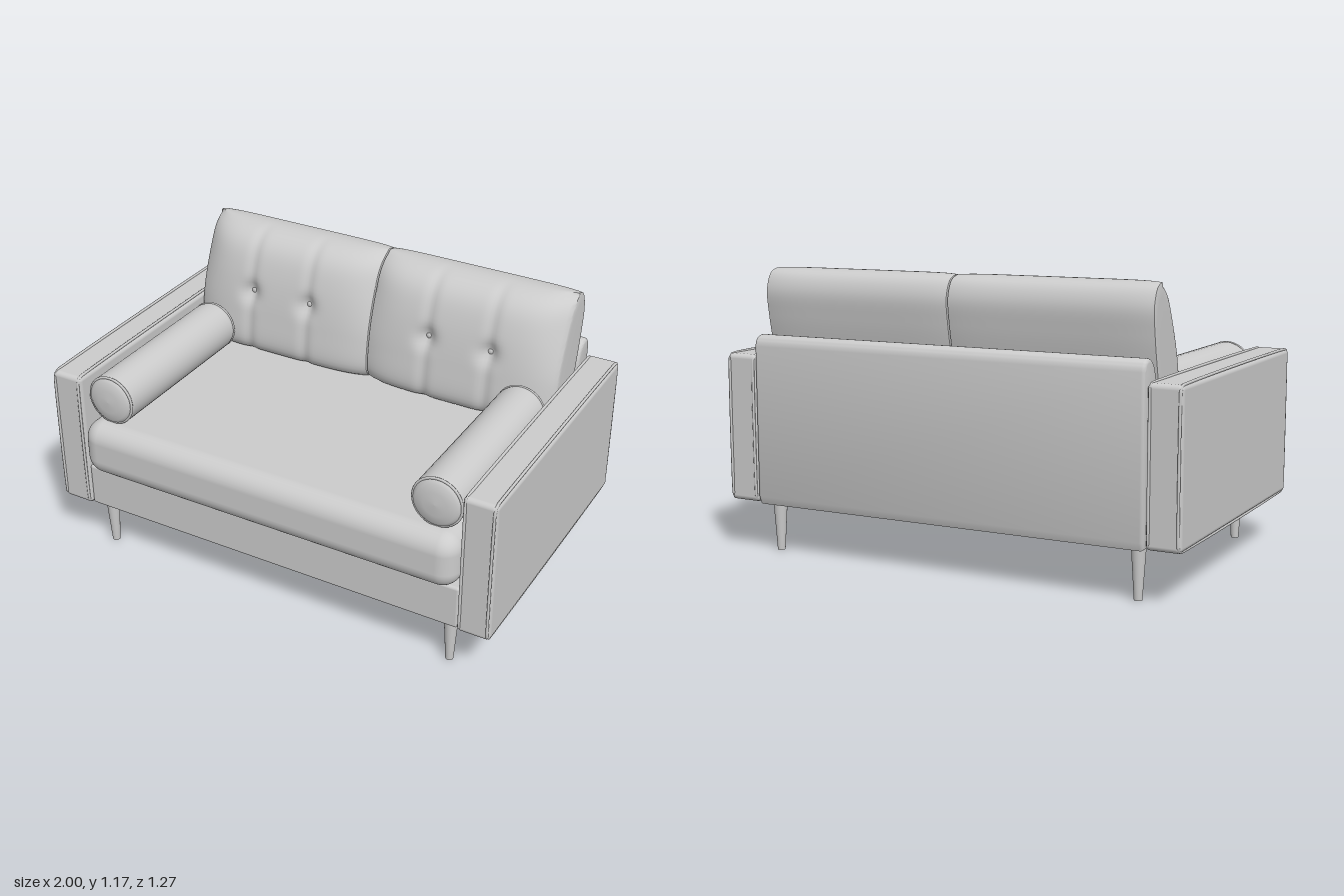
import * as THREE from 'three';
import { RoundedBoxGeometry } from 'three/addons/geometries/RoundedBoxGeometry.js';
import { toCreasedNormals } from 'three/addons/utils/BufferGeometryUtils.js';

const material = new THREE.MeshStandardMaterial({ color: 0xcccccc });

function add(parent, name, geometry, x = 0, y = 0, z = 0) {
  const mesh = new THREE.Mesh(geometry, material);
  mesh.name = name;
  mesh.position.set(x, y, z);
  parent.add(mesh);
  return mesh;
}

// Rounded box given by its limits on each axis
function block(parent, name, [x0, x1], [y0, y1], [z0, z1], radius) {
  const geometry = new RoundedBoxGeometry(x1 - x0, y1 - y0, z1 - z0, 5, radius);
  return add(parent, name, geometry, (x0 + x1) / 2, (y0 + y1) / 2, (z0 + z1) / 2);
}

// Loop of piping around a rounded rectangle in the z-y plane
function armPiping(x, [y0, y1], [z0, z1], r) {
  const points = [];
  const corners = [[z1 - r, y1 - r], [z0 + r, y1 - r], [z0 + r, y0 + r], [z1 - r, y0 + r]];
  corners.forEach(([z, y], c) => {
    for (let i = 0; i <= 4; i++) {
      const a = (c + i / 4) * Math.PI / 2;
      points.push(new THREE.Vector3(x, y + r * Math.sin(a), z + r * Math.cos(a)));
    }
  });
  const curve = new THREE.CatmullRomCurve3(points, true, 'centripetal');
  return new THREE.TubeGeometry(curve, 160, 0.006, 8, true);
}

// Side outline of a back cushion as z, y, running up the front and down the back
const cushionOutline = new THREE.CatmullRomCurve3([
  [-0.265, 0.635], [-0.234, 0.67], [-0.24, 0.82], [-0.272, 1.0], [-0.308, 1.095],
  [-0.345, 1.138], [-0.39, 1.162], [-0.46, 1.172], [-0.53, 1.152], [-0.56, 1.09],
  [-0.55, 0.98], [-0.515, 0.82], [-0.475, 0.66], [-0.45, 0.635],
].map(([z, y]) => new THREE.Vector3(0, y, z)), true, 'centripetal');

// Tufted cushion: the outline lofted along x, thinner at the ends (most at the
// outer one), pulled in at the buttons
function tuftedCushion(halfWidth, side, buttons) {
  const { smoothstep } = THREE.MathUtils;
  const around = 80, inner = 60;
  const outline = cushionOutline.getSpacedPoints(around).slice(0, around);
  const middle = new THREE.Vector3(0, 0.9, -0.43);
  const stations = [[-1, 0], [-1, 0.45], [-0.999, 0.8], [-0.997, 0.95]];
  for (let i = 0; i <= inner; i++) {
    const u = -0.992 + 1.984 * i / inner;
    stations.push([u, 1 - 0.015 * Math.pow(Math.abs(u), 10)]);
  }
  stations.push([0.997, 0.95], [0.999, 0.8], [1, 0.45], [1, 0]);

  const positions = [], indices = [];
  for (const [u, scale] of stations) {
    const end = Math.pow(Math.abs(u), 5) * (u * side > 0 ? 1 : 0.6);
    for (const point of outline) {
      const p = point.clone();
      const x = u * halfWidth;
      const depth = p.z + 0.4 + (p.y - 0.9) * 0.25;
      const front = smoothstep(depth, -0.02, 0.1);
      const back = smoothstep(-depth, 0, 0.1);
      // Front and back faces draw together towards the end seams
      p.z -= front * end * (0.06 + 0.04 * smoothstep(p.y, 0.8, 1.1));
      p.z += back * end * 0.015;
      for (const [bx, by] of buttons) {
        const dx = x - bx, dy = p.y - by;
        const dimple = 0.03 * Math.exp(-(dx * dx + dy * dy) / 0.0018);
        const crease = 0.01 * Math.exp(-(dx * dx) / 0.0006);
        p.z -= front * (dimple + crease);
      }
      p.sub(middle).multiplyScalar(scale).add(middle);
      positions.push(x, p.y, p.z);
    }
  }
  for (let i = 0; i < stations.length - 1; i++) {
    for (let j = 0; j < around; j++) {
      const k = (j + 1) % around;
      const a = i * around + j, b = a + around;
      const d = i * around + k, c = d + around;
      indices.push(a, b, c, a, c, d);
    }
  }
  const geometry = new THREE.BufferGeometry();
  geometry.setAttribute('position', new THREE.Float32BufferAttribute(positions, 3));
  geometry.setIndex(indices);
  return toCreasedNormals(geometry, 0.7);
}

// Back panel: side profile with a rounded top, extruded across the width
function backPanel() {
  const bevel = 0.015;
  const profile = new THREE.Shape();
  profile.moveTo(-0.612, 0.22);
  profile.lineTo(-0.52, 0.22);
  profile.lineTo(-0.535, 0.82);
  profile.quadraticCurveTo(-0.55, 0.89, -0.59, 0.89);
  profile.quadraticCurveTo(-0.62, 0.89, -0.62, 0.85);
  profile.lineTo(-0.62, 0.24);
  const length = 1.71 - 2 * bevel;
  const geometry = new THREE.ExtrudeGeometry(profile, {
    depth: length, bevelSize: bevel, bevelThickness: bevel, bevelSegments: 4, curveSegments: 10,
  });
  geometry.translate(0, 0, -length / 2);
  geometry.rotateY(-Math.PI / 2);
  return toCreasedNormals(geometry, 0.6);
}

export function createModel() {
  const sofa = new THREE.Group();
  sofa.name = 'sofa';

  // Frame, open underneath
  add(sofa, 'backPanel', backPanel());
  block(sofa, 'frontRail', [-0.86, 0.86], [0.21, 0.4], [0.405, 0.585], 0.012);
  block(sofa, 'seatCushion', [-0.855, 0.855], [0.39, 0.633], [-0.53, 0.636], 0.08);

  // Bolster profile with softly domed ends
  const bolsterProfile = [
    [0, -0.405], [0.05, -0.402], [0.085, -0.395], [0.102, -0.383], [0.107, -0.36],
    [0.107, 0.36], [0.102, 0.383], [0.085, 0.395], [0.05, 0.402], [0, 0.405],
  ].map(([r, y]) => new THREE.Vector2(r, y));

  for (const side of [-1, 1]) {
    const label = side > 0 ? 'left' : 'right';

    // Arm with piped edges
    const arm = new THREE.Group();
    arm.name = label + 'Arm';
    sofa.add(arm);
    const xs = [0.858, 0.998].map(v => v * side).sort((a, b) => a - b);
    block(arm, 'armBody', xs, [0.21, 0.822], [-0.627, 0.597], 0.02);
    for (const x of [0.871, 0.987]) {
      add(arm, 'armPiping', armPiping(x * side, [0.213, 0.82], [-0.625, 0.595], 0.025));
    }

    // Bolster with a rim at each end
    const bolster = new THREE.Group();
    bolster.name = label + 'Bolster';
    bolster.position.set(0.74 * side, 0.735, 0.172);
    sofa.add(bolster);
    add(bolster, 'bolsterBody', new THREE.LatheGeometry(bolsterProfile, 40).rotateX(Math.PI / 2));
    for (const z of [-0.38, 0.38]) {
      add(bolster, 'bolsterPiping', new THREE.TorusGeometry(0.102, 0.006, 6, 40), 0, 0, z);
    }

    // Tufted back cushion with two buttons
    const cushion = new THREE.Group();
    cushion.name = label + 'BackCushion';
    cushion.position.x = 0.427 * side;
    sofa.add(cushion);
    const buttons = [[-0.147, 0.91], [0.133, 0.91]];
    add(cushion, 'cushionBody', tuftedCushion(0.427, side, buttons));
    for (const [x, y] of buttons) {
      const button = add(cushion, 'button', new THREE.SphereGeometry(0.014, 16, 10), x, y, -0.293);
      button.scale.z = 0.6;
    }

    // Tapered legs
    for (const [name, z] of [['FrontLeg', 0.52], ['BackLeg', -0.55]]) {
      add(sofa, label + name, new THREE.CylinderGeometry(0.03, 0.016, 0.22, 24), 0.805 * side, 0.11, z);
    }
  }
  return sofa;
}
